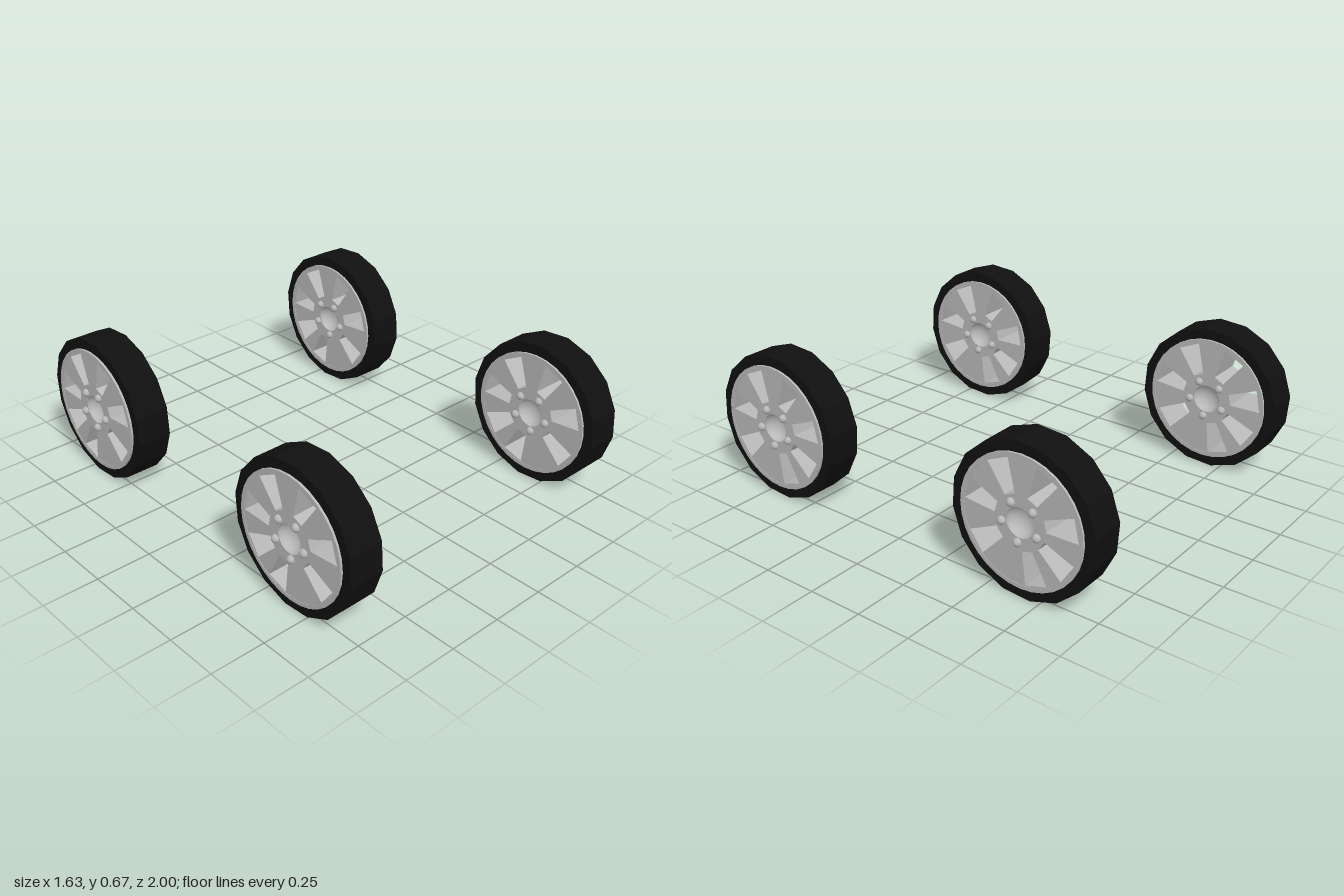
import * as THREE from 'three';

const TAU = Math.PI * 2;
const rad = THREE.MathUtils.degToRad;
const polar = (r, a) => new THREE.Vector2(r * Math.cos(a), r * Math.sin(a));

// Regular polygon outline
function ring(radius, sides, start = 0) {
  return Array.from({ length: sides }, (_, i) => polar(radius, start + (i / sides) * TAU));
}

// Extrude a shape to the given width, centred, with its axis along x
function extrudeAcross(shape, width) {
  const g = new THREE.ExtrudeGeometry(shape, { depth: width, bevelEnabled: false });
  return g.translate(0, 0, -width / 2).rotateY(Math.PI / 2);
}

function ringGeometry(outer, inner, width) {
  const shape = new THREE.Shape(outer);
  shape.holes.push(new THREE.Path(inner));
  return extrudeAcross(shape, width);
}

export function createModel() {
  const rubber = new THREE.MeshStandardMaterial({ color: 0x101010 });
  rubber.name = 'black rubber';
  const alloy = new THREE.MeshStandardMaterial({ color: 0xb8b8b8, side: THREE.DoubleSide });
  alloy.name = 'grey alloy';

  // Sixteen-sided tyre
  const tyreGeo = ringGeometry(ring(0.336, 16, rad(7.4)), ring(0.28, 32), 0.158);

  // Outer lip of the rim
  const lipGeo = ringGeometry(ring(0.287, 32), ring(0.27, 32), 0.178);

  // Spoked disc: tapering windows between the spokes, round hole for the hub
  const disc = new THREE.Shape(ring(0.272, 32));
  disc.holes.push(new THREE.Path(ring(0.065, 24)));
  for (const deg of [12, 62, 114, 164, 216, 287, 327]) {
    const corners = [[0.118, -0.025], [0.26, -0.052], [0.26, 0.052], [0.118, 0.025]];
    disc.holes.push(new THREE.Path(corners.map(([r, w]) =>
      new THREE.Vector2(r, w).rotateAround(new THREE.Vector2(), rad(deg)))));
  }
  const discGeo = extrudeAcross(disc, 0.174);

  // Concave hub dish
  const dishProfile = Array.from({ length: 9 }, (_, i) => {
    const a = (i / 8) * Math.PI / 2;
    return new THREE.Vector2(0.066 * Math.sin(a), -0.055 * Math.cos(a));
  });
  const dishGeo = new THREE.LatheGeometry(dishProfile, 24).rotateZ(-Math.PI / 2);

  const boltGeo = new THREE.SphereGeometry(0.019, 14, 10);

  function add(parent, name, geometry, material) {
    const mesh = new THREE.Mesh(geometry, material);
    mesh.name = name;
    parent.add(mesh);
    return mesh;
  }

  function makeWheel(name) {
    const wheel = new THREE.Group();
    wheel.name = name;
    add(wheel, 'tyre', tyreGeo, rubber);
    add(wheel, 'rimLip', lipGeo, alloy);
    add(wheel, 'spokes', discGeo, alloy);
    for (const side of [1, -1]) {
      const dish = add(wheel, 'hubDish', dishGeo, alloy);
      dish.position.x = side * 0.087;
      if (side < 0) dish.rotation.y = Math.PI;
      // Five round bolts on each face
      for (let i = 0; i < 5; i++) {
        const p = polar(0.087, rad(47 + i * 72));
        add(wheel, 'bolt', boltGeo, alloy).position.set(side * 0.088, p.y, -p.x);
      }
    }
    return wheel;
  }

  // Four identical wheels
  const model = new THREE.Group();
  model.name = 'wheelSet';
  for (const [xName, x] of [['Left', 0.71], ['Right', -0.71]]) {
    for (const [zName, z] of [['front', 0.667], ['back', -0.667]]) {
      const wheel = makeWheel(`${zName}${xName}Wheel`);
      wheel.position.set(x, 0.333, z);
      model.add(wheel);
    }
  }
  return model;
}
